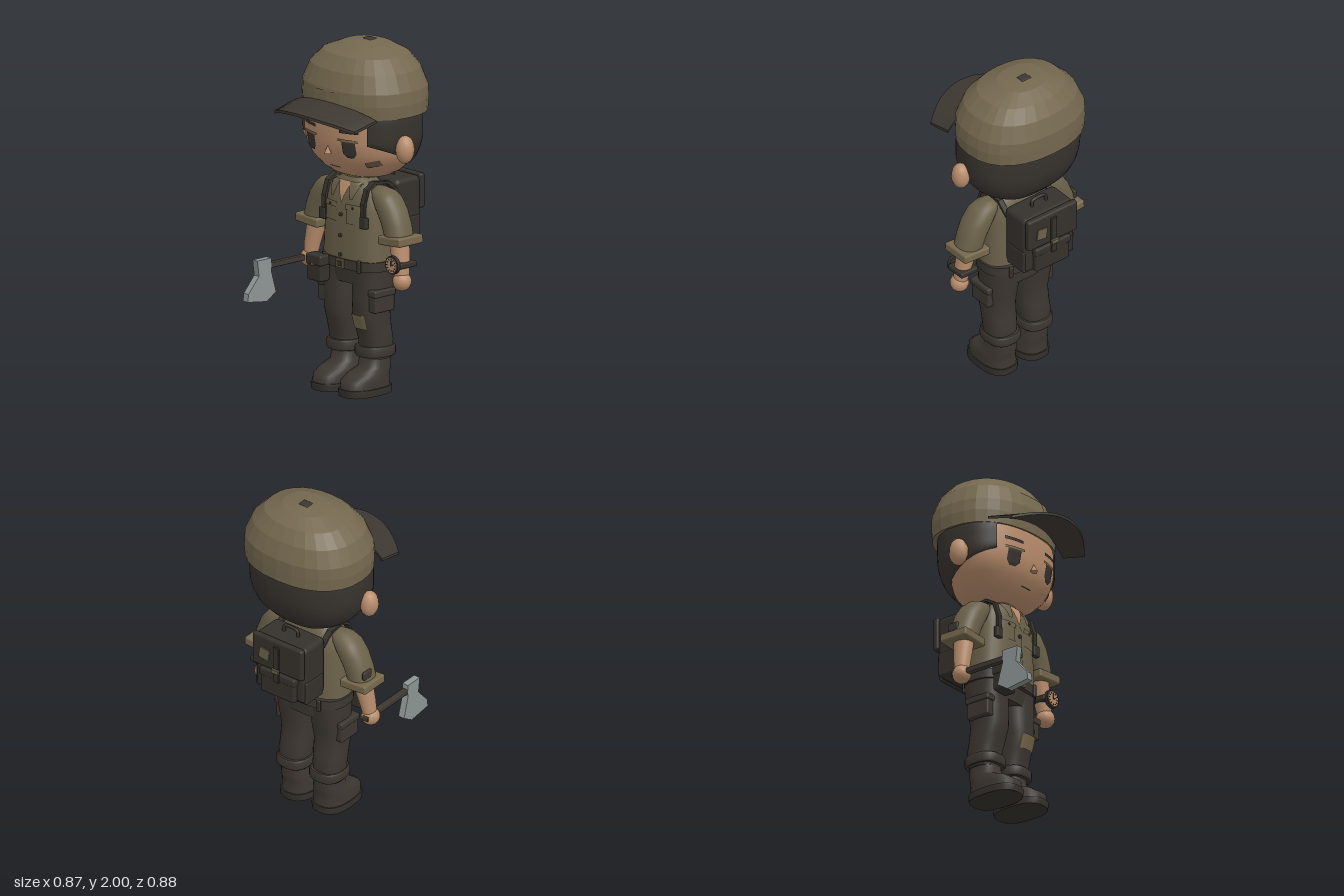
import * as THREE from 'three';
import { RoundedBoxGeometry } from 'three/addons/geometries/RoundedBoxGeometry.js';

const mat = (name, color) => Object.assign(new THREE.MeshStandardMaterial({ color }), { name });
const M = {
  skin: mat('skin', 0xb98d6c), hair: mat('hair', 0x37322d), cap: mat('cap olive', 0x74684f),
  shirt: mat('shirt olive', 0x6b614a), khaki: mat('khaki trim', 0x75684c), trousers: mat('trousers', 0x3d3731),
  leather: mat('dark leather', 0x35312c), steel: mat('steel', 0x8d9694), eye: mat('eye', 0x3a3430), smudge: mat('smudge', 0x64503f),
};
M.hair.side = THREE.DoubleSide;

// Superellipse ring point; a section is [y, cx, cz, rx, rz]
const pw = (v, n) => Math.sign(v) * Math.abs(v) ** (2 / n);
const ringPoint = ([y, cx, cz, rx, rz], a, n) => [cx + rx * pw(Math.cos(a), n), y, cz + rz * pw(Math.sin(a), n)];

// Closed body lofted through sections from bottom to top
function loft(sections, { n = 2.3, seg = 28, flat = false } = {}) {
  const pos = [], idx = [];
  const addRing = s => { for (let i = 0; i < seg; i++) pos.push(...ringPoint(s, i / seg * Math.PI * 2, n)); };
  sections.forEach(addRing);
  for (let j = 0; j < sections.length - 1; j++) for (let i = 0; i < seg; i++) {
    const k = (i + 1) % seg, a = j * seg + i, b = j * seg + k;
    idx.push(a, a + seg, b, b, a + seg, b + seg);
  }
  for (const [s, top] of [[sections[0], false], [sections.at(-1), true]]) {
    const base = pos.length / 3;
    addRing(s);
    pos.push(s[1], s[0], s[2]);
    for (let i = 0; i < seg; i++) {
      const p = base + i, q = base + (i + 1) % seg;
      idx.push(base + seg, ...(top ? [q, p] : [p, q]));
    }
  }
  let g = new THREE.BufferGeometry();
  g.setAttribute('position', new THREE.Float32BufferAttribute(pos, 3));
  g.setIndex(idx);
  if (flat) g = g.toNonIndexed();
  g.computeVertexNormals();
  return g;
}
// Section of a loft at height y, and its front depth at x
function sectionAt(sections, y) {
  let i = 0;
  while (i < sections.length - 2 && y > sections[i + 1][0]) i++;
  const a = sections[i], b = sections[i + 1];
  const t = THREE.MathUtils.clamp((y - a[0]) / (b[0] - a[0]), 0, 1);
  return a.map((v, k) => v + (b[k] - v) * t);
}
function frontZ(sections, n, x, y) {
  const [, cx, cz, rx, rz] = sectionAt(sections, y);
  return cz + rz * Math.max(0, 1 - (Math.abs(x - cx) / rx) ** n) ** (1 / n);
}
// Thin patch laid on the front of a loft
function patch(sections, n, w, h, x, y, { taper = 1, skew = 0, lift = 0.006, tilt = 0 } = {}) {
  const g = new THREE.PlaneGeometry(w, h, 6, 6).toNonIndexed(), p = g.attributes.position;
  for (let i = 0; i < p.count; i++) {
    const t = 0.5 - p.getY(i) / h;
    const px = x + p.getX(i) * (1 + (taper - 1) * t) + skew * t, py = y + p.getY(i) + tilt * p.getX(i);
    p.setXYZ(i, px, py, frontZ(sections, n, px, py) + lift);
  }
  g.computeVertexNormals();
  return g;
}
const mirrored = (sections, s) => sections.map(([y, cx, ...r]) => [y, cx * s, ...r]);

const HEAD = [[1.235, .4], [1.25, .53], [1.28, .68], [1.34, .86], [1.4, .95], [1.47, 1], [1.6, 1], [1.7, .95], [1.76, .8]]
  .map(([y, f]) => [y, 0, -.093, .355 * f, .268 * f]);
const TORSO = [[.72, .228, .13], [.9, .216, .13], [1.05, .205, .125], [1.14, .195, .115], [1.19, .15, .095], [1.23, .08, .075]]
  .map(([y, rx, rz]) => [y, 0, -.06, rx, rz]);
const LEG = [[.2, .118, -.08, .082, .084], [.3, .12, -.082, .09, .092], [.38, .116, -.065, .09, .098], [.46, .115, -.05, .093, .105],
  [.55, .115, -.06, .1, .11], [.66, .115, -.07, .106, .118], [.72, .115, -.072, .107, .122]];
const SLEEVE = [[.92, .333, -.062, .075, .08], [1, .308, -.063, .08, .083], [1.08, .268, -.063, .088, .085],
  [1.14, .23, -.063, .083, .08], [1.172, .205, -.063, .072, .06], [1.19, .185, -.063, .035, .028]];
const FOREARM = [[.7, .372, -.045, .04, .04], [.78, .36, -.05, .047, .05], [.9, .335, -.06, .055, .06]];
const BOOT = [[.04, .112, -.007, .098, .155], [.085, .112, -.007, .098, .15], [.12, .112, -.035, .092, .125], [.15, .113, -.078, .08, .09], [.22, .115, -.082, .076, .083]];
const CAP = [[1.615, 0, -.113, .374, .296], [1.69, 0, -.113, .38, .3], [1.76, 0, -.114, .373, .3], [1.86, 0, -.115, .33, .265],
  [1.935, 0, -.12, .256, .208], [1.98, 0, -.13, .145, .122], [1.994, 0, -.147, .03, .03]];

export function createModel() {
  const root = new THREE.Group();
  root.name = 'woodsman';
  const add = (name, g, m, x = 0, y = 0, z = 0) => {
    const mesh = new THREE.Mesh(g, m);
    mesh.name = name;
    mesh.position.set(x, y, z);
    root.add(mesh);
    return mesh;
  };
  const box = (name, m, w, h, d, x, y, z, r = .008) =>
    add(name, new RoundedBoxGeometry(w, h, d, 2, Math.min(r, w / 2.1, h / 2.1, d / 2.1)), m, x, y, z);
  const disc = (name, m, r, d, x, y, z, seg = 16) => {
    const o = add(name, new THREE.CylinderGeometry(r, r, d, seg), m, x, y, z);
    o.rotation.x = Math.PI / 2;
  };

  // Head and face
  add('head', loft(HEAD, { seg: 40 }), M.skin);
  add('neck', new THREE.CylinderGeometry(.078, .078, .14, 20), M.skin, 0, 1.2, -.075);
  const face = (name, m, ...a) => add(name, patch(HEAD, 2.3, ...a), m);
  for (const s of [-1, 1]) {
    face('eyebrow', M.hair, .12, .018, s * .157, 1.535, { lift: .008, tilt: s * .03 });
    face('eyelid', M.khaki, .13, .014, s * .15, 1.484, { lift: .008 });
    face('eye', M.eye, .085, .07, s * .153, 1.443);
    face('eyeLower', M.eye, .085, .026, s * .153, 1.395, { taper: .45 });
    const ear = add('ear', new THREE.SphereGeometry(1, 12, 10), M.skin, s * .382, 1.44, -.06);
    ear.scale.set(.052, .08, .056);
  }
  face('mouth', M.hair, .08, .006, 0, 1.306);
  face('cheekSmudge', M.smudge, .066, .034, .255, 1.352, { tilt: .3, lift: .008 });
  const nose = add('nose', new THREE.ConeGeometry(.026, .045, 4), M.skin, 0, 1.412, .172);
  nose.scale.z = 1.1;

  // Hair shell around the back, with a lower edge falling to the nape
  const cols = 40, rows = 8, hp = [], hi = [];
  for (let i = 0; i <= cols; i++) {
    const a = Math.PI / 2 + .75 + (Math.PI * 2 - 1.5) * i / cols;
    const yb = 1.465 + (ringPoint([0, 0, -.095, .366, .28], a, 2.3)[2] - .12) * .4;
    for (let j = 0; j <= rows; j++) {
      const y = yb + (1.65 - yb) * Math.max(0, j - 1) / (rows - 1);
      const [, , , rx, rz] = sectionAt(HEAD, y), k = j ? .01 : -.005;
      hp.push(...ringPoint([y, 0, -.095, rx + k, rz + k], a, 2.3));
      const p = i * (rows + 1) + j, q = p + rows + 1;
      if (i < cols && j < rows) hi.push(p, p + 1, q, q, p + 1, q + 1);
    }
  }
  const hairGeo = new THREE.BufferGeometry();
  hairGeo.setAttribute('position', new THREE.Float32BufferAttribute(hp, 3));
  hairGeo.setIndex(hi);
  hairGeo.computeVertexNormals();
  add('hair', hairGeo, M.hair);

  // Cap with curved brim
  add('cap', loft(CAP, { n: 2.3, seg: 28, flat: true }), M.cap);
  add('capPanel', patch(CAP, 2.3, .19, .1, 0, 1.8, { lift: .004 }), M.cap);
  box('capButton', M.trousers, .065, .022, .055, 0, 1.988, -.147);
  const brim = new THREE.BoxGeometry(2, .016, 1, 14, 1, 3).toNonIndexed(), bp = brim.attributes.position;
  for (let i = 0; i < bp.count; i++) {
    const u = bp.getX(i), v = bp.getZ(i) + .5, c = u * u;
    bp.setXYZ(i, .335 * u - .008 * u * v, 1.683 - .063 * c + v * (-.035 - .004 * c) + bp.getY(i), .175 - .062 * c + v * (.235 - .073 * c));
  }
  brim.computeVertexNormals();
  add('brim', brim, M.trousers);

  // Shirt
  add('shirt', loft(TORSO, { n: 2.6, seg: 32 }), M.shirt);
  add('collarBand', loft([[1.18, 0, -.07, .11, .09], [1.225, 0, -.07, .092, .082]], { n: 2 }), M.shirt);
  const onShirt = (name, m, ...a) => add(name, patch(TORSO, 2.6, ...a), m);
  onShirt('openNeck', M.skin, .1, .12, 0, 1.15, { taper: .05, lift: .009 });
  onShirt('placket', M.shirt, .045, .31, 0, .93, { lift: .004 });
  for (const s of [-1, 1]) {
    onShirt('collar', M.shirt, .08, .095, s * .08, 1.163, { taper: .3, skew: -s * .005, lift: .014 });
    onShirt('chestPocket', M.shirt, .1, .1, s * .09, 1.025);
    onShirt('pocketFlap', M.shirt, .106, .032, s * .09, 1.072, { lift: .012 });
    disc('pocketButton', M.trousers, .007, .008, s * .09, 1.068, frontZ(TORSO, 2.6, .09, 1.068) + .013, 10);
  }
  for (const y of [1.02, .9, .79]) disc('shirtButton', M.trousers, .011, .012, 0, y, frontZ(TORSO, 2.6, 0, y) + .008, 12);

  // Arms, legs and boots
  for (const s of [-1, 1]) {
    add('sleeve', loft(mirrored(SLEEVE, s)), M.shirt);
    box('rolledCuff', M.khaki, .182, .052, .185, s * .337, .915, -.066, .012).rotation.z = s * .07;
    add('forearm', loft(mirrored(FOREARM, s), { n: 2 }), M.skin);
    add('hand', new THREE.SphereGeometry(.054, 16, 12), M.skin, s * .376, .685, -.042);
    add('leg', loft(mirrored(LEG, s), { n: 2.5 }), M.trousers);
    add('trouserCuff', loft(mirrored([[.212, .116, -.08, .094, .105], [.222, .116, -.08, .102, .112],
      [.262, .116, -.08, .102, .112], [.272, .116, -.08, .094, .105]], s), { n: 2.5 }), M.trousers);
    add('boot', loft(mirrored(BOOT, s), { n: 2.6 }), M.trousers);
    add('sole', loft(mirrored([[0, .112, -.007, .104, .161], [.03, .112, -.007, .107, .165], [.042, .112, -.007, .105, .163]], s), { n: 2.6 }), M.leather);
    box('cargoPocket', M.trousers, .06, .125, .15, s * .205, .543, -.045, .01);
    box('cargoFlap', M.trousers, .066, .04, .162, s * .208, .59, -.045, .01);
    for (const z of [-.21, .068]) box('beltLoop', M.leather, .025, .075, .018, s * .14, .74, z);
  }
  box('sleeveBadge', M.trousers, .02, .05, .07, -.388, .985, -.09);
  add('kneePatch', patch(LEG, 2.5, .105, .085, .113, .418, { lift: .008 }), M.khaki);
  add('hips', loft([[.625, 0, -.072, .205, .115], [.74, 0, -.07, .222, .128]], { n: 2.6 }), M.trousers);

  // Belt, buckle and pouch
  add('belt', loft([[.712, 0, -.068, .233, .145], [.768, 0, -.068, .234, .145]], { n: 2.7, seg: 36 }), M.trousers);
  box('buckle', M.khaki, .062, .052, .012, 0, .74, .08, .004);
  box('buckleCentre', M.leather, .042, .032, .014, 0, .74, .082, .004);
  box('pouch', M.leather, .115, .14, .075, -.163, .685, .092, .014);
  box('pouchFlap', M.leather, .125, .06, .085, -.163, .738, .094, .012);
  disc('pouchButton', M.khaki, .009, .01, -.163, .715, .138, 12);

  // Wristwatch
  box('watchStrap', M.leather, .12, .032, .125, .36, .783, -.055, .008);
  disc('watchCase', M.leather, .052, .02, .36, .785, .014, 24);
  disc('watchFace', M.skin, .043, .006, .36, .785, .024, 24);
  for (let i = 0; i < 12; i++) {
    const a = i * Math.PI / 6;
    box('hourTick', M.leather, .005, .009, .004, .36 + .034 * Math.sin(a), .785 + .034 * Math.cos(a), .028, .001).rotation.z = -a;
  }
  box('minuteHand', M.leather, .006, .03, .004, .36, .797, .029, .001);
  box('hourHand', M.leather, .024, .006, .004, .37, .788, .029, .001).rotation.z = .4;

  // Backpack
  box('backpack', M.leather, .35, .365, .19, 0, 1.018, -.283, .03);
  box('packFlap', M.leather, .35, .2, .04, 0, 1.108, -.39, .015);
  box('packPocket', M.leather, .24, .15, .045, 0, .915, -.386, .015);
  box('packPocketFlap', M.leather, .25, .05, .05, 0, .975, -.388, .012);
  box('packStrap', M.leather, .04, .23, .014, 0, 1.06, -.414, .004);
  box('packBuckle', M.shirt, .05, .026, .016, 0, 1.02, -.425, .004);
  box('packPatch', M.shirt, .07, .07, .009, .085, 1.1, -.414, .002).rotation.z = .15;
  const grip = [[-.05, 1.19], [-.045, 1.235], [0, 1.243], [.045, 1.235], [.05, 1.19]].map(([x, y]) => new THREE.Vector3(x, y, -.28));
  add('packHandle', new THREE.TubeGeometry(new THREE.CatmullRomCurve3(grip), 20, .01, 8), M.leather);
  const strap = [[.97, .052], [1.1, .05], [1.18, .024], [1.212, -.03], [1.2, -.13], [1.14, -.2]];
  for (const s of [-1, 1]) {
    box('packSidePocket', M.leather, .03, .14, .15, s * .165, .908, -.293, .01);
    for (let i = 0; i < strap.length - 1; i++) {
      const [a, b] = [strap[i], strap[i + 1]].map(([y, z]) => new THREE.Vector3(s * .158, y, z));
      const mid = a.clone().lerp(b, .5);
      box('shoulderStrap', M.leather, .034, .018, a.distanceTo(b) + .012, mid.x, mid.y, mid.z, .003).lookAt(b);
    }
    box('strapBuckle', M.leather, .048, .065, .03, s * .166, .995, .052, .006);
  }

  // Hatchet held in the right hand
  box('hatchetHandle', M.trousers, .036, .03, .38, -.38, .69, .09, .005);
  const blade = new THREE.Shape([[.372, .735], [.36, .645], [.44, .555], [.445, .51], [.3, .49], [.23, .535], [.266, .66], [.266, .735]]
    .map(([z, y]) => new THREE.Vector2(-z, y)));
  const head = add('hatchetHead', new THREE.ExtrudeGeometry(blade, { depth: .04, bevelEnabled: false }), M.steel, -.4);
  head.rotation.y = Math.PI / 2;
  return root;
}
